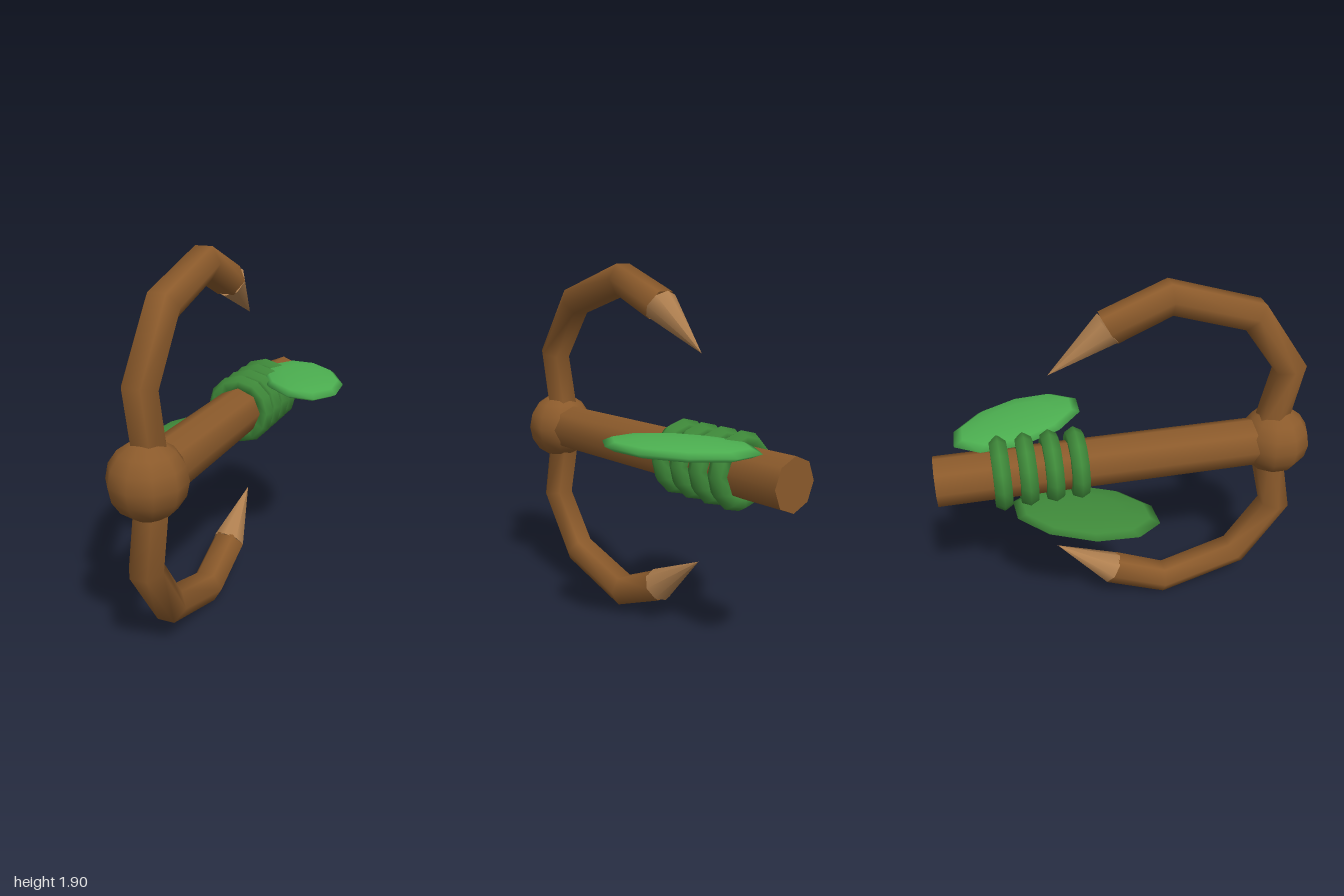
import * as THREE from 'three';
import { mergeVertices } from 'three/addons/utils/BufferGeometryUtils.js';

const AXIS_X = -0.025, AXIS_Y = 0.953;

export function createModel() {
  const model = new THREE.Group();
  model.name = 'vineGrapple';
  const mat = (name, color, extra = {}) => {
    const m = new THREE.MeshStandardMaterial({ color, ...extra });
    m.name = name;
    return m;
  };
  const wood = mat('wood', 0x8b5a2b);
  const hookWood = mat('hookWood', 0x8b5a2b, { side: THREE.DoubleSide });
  const paleWood = mat('paleWood', 0xb08050);
  const vineGreen = mat('vineGreen', 0x3f8a3a);
  const leafGreen = mat('leafGreen', 0x4caf50);

  const add = (parent, name, geometry, material, x = 0, y = 0, z = 0) => {
    const mesh = new THREE.Mesh(geometry, material);
    mesh.name = name;
    mesh.position.set(x, y, z);
    parent.add(mesh);
    return mesh;
  };

  // Everything but the leaves is centred on the shaft axis
  const body = new THREE.Group();
  body.name = 'body';
  body.position.set(AXIS_X, AXIS_Y, 0);
  model.add(body);

  // Shaft along z, with a faceted knob at the front
  add(body, 'shaft', new THREE.CylinderGeometry(0.131, 0.131, 1.8, 8).rotateX(Math.PI / 2), wood, 0, 0, -0.1);
  add(body, 'knob', new THREE.SphereGeometry(0.19, 10, 8).rotateY(Math.PI / 2), wood, 0, 0, 0.81);

  // Hook centre line (y measured from the shaft axis); the last point is the barb tip
  const path = [[0.02, 0.76], [0.431, 0.85], [0.742, 0.63], [0.872, 0.2], [0.745, -0.105], [0.527, -0.405]]
    .map(([y, z]) => new THREE.Vector3(0, y, z));
  const side = new THREE.Vector3(1, 0, 0);
  const dir = i => path[i + 1].clone().sub(path[i]).normalize();

  // Six-sided open tube: each ring of a cylinder is moved onto one path point
  function hookGeometry() {
    let g = new THREE.CylinderGeometry(0.09, 0.09, 4, 6, 4, true).rotateY(Math.PI / 2);
    g.deleteAttribute('uv');
    g.deleteAttribute('normal');
    g = mergeVertices(g, 1e-4);
    const p = g.attributes.position;
    for (let i = 0; i < p.count; i++) {
      const ring = Math.round(p.getY(i) + 2);
      const tangent = dir(ring);
      if (ring > 0) tangent.add(dir(ring - 1)).normalize();
      const across = side.clone().cross(tangent);
      const v = path[ring].clone().addScaledVector(side, p.getX(i)).addScaledVector(across, p.getZ(i));
      p.setXYZ(i, v.x, v.y, v.z);
    }
    g.computeVertexNormals();
    return g;
  }

  // Two opposite hooks, each ending in a pale barb
  const hookShape = hookGeometry();
  const barbLength = path[4].distanceTo(path[5]);
  ['upperHook', 'lowerHook'].forEach((name, i) => {
    const hook = new THREE.Group();
    hook.name = name;
    hook.rotation.z = i * Math.PI;
    body.add(hook);
    add(hook, 'hookArm', hookShape, hookWood);
    const barb = add(hook, 'barb', new THREE.ConeGeometry(0.09, barbLength, 8), paleWood);
    barb.position.copy(path[4]).lerp(path[5], 0.5);
    barb.quaternion.setFromUnitVectors(new THREE.Vector3(0, 1, 0), dir(4));
  });

  // Vine wrapped round the shaft
  for (let i = 0; i < 4; i++) {
    add(body, 'vineRing', new THREE.TorusGeometry(0.145, 0.05, 6, 12), vineGreen, 0, 0, -0.28 - i * 0.131);
  }

  // Flat leaves, one on each side of the shaft
  const leafShape = new THREE.SphereGeometry(1, 10, 6).scale(0.388, 0.045, 0.222);
  add(model, 'leftLeaf', leafShape, leafGreen, 0.243, 1.085, -0.545).rotation.y = -1.09;
  add(model, 'rightLeaf', leafShape, vineGreen, -0.248, 0.8, -0.28).rotation.y = 1.11;

  return model;
}
